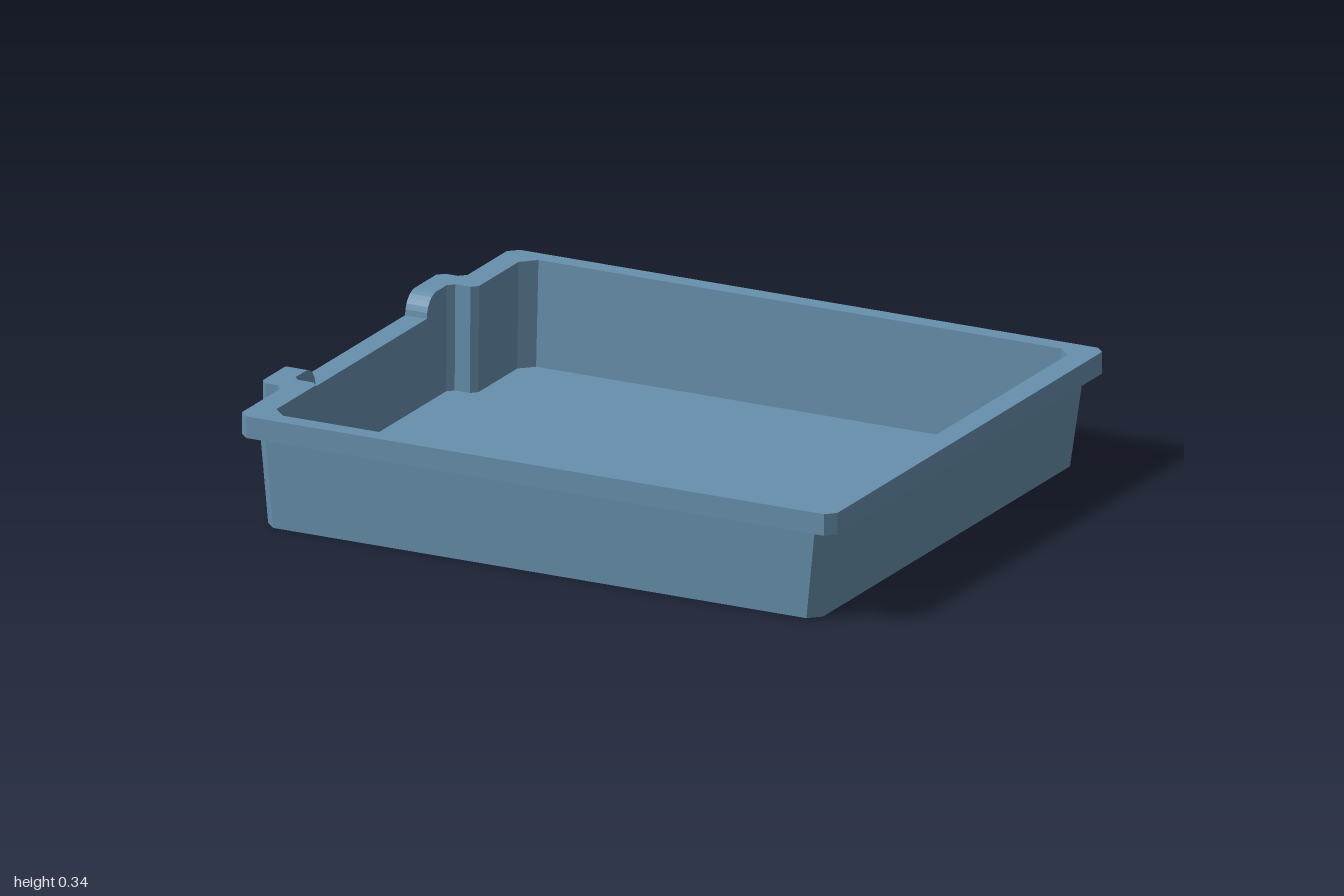
import * as THREE from 'three';

const TOP = 0.34, LIP = 0.065, NOTCH = 0.34, ROUND = 0.06;

// One closed outline: chamfered rectangle with a wide tab on the -x side.
// dip lowers the tab's middle; spread moves the curved step outwards.
function ring({ right, left, tab, half, tabHalf, cut, tabCut, y, dip = 0, spread = 0 }) {
  const corners = [
    [right, half, cut], [right, -half, cut], [left, -half, cut], [left, -tabHalf, tabCut],
    [tab, -tabHalf, tabCut], [tab, tabHalf, tabCut], [left, tabHalf, tabCut], [left, half, cut],
  ];
  const points = [];
  corners.forEach(([x, z, c], i) => {
    const toward = ([px, pz]) => {
      const d = Math.hypot(px - x, pz - z);
      points.push(new THREE.Vector3(x + (px - x) / d * c, y, z + (pz - z) / d * c));
    };
    toward(corners[(i + 7) % 8]);
    toward(corners[(i + 1) % 8]);
    if (i === 4) {
      // quarter-round step down, then its mirror image
      const step = [];
      for (let k = 0; k <= 6; k++) {
        const a = k / 6 * Math.PI / 2;
        step.push([NOTCH + spread + ROUND * (1 - Math.sin(a)), y - dip * (1 - Math.cos(a))]);
      }
      step.forEach(([sz, sy]) => points.push(new THREE.Vector3(tab, sy, -sz)));
      step.reverse().forEach(([sz, sy]) => points.push(new THREE.Vector3(tab, sy, sz)));
    }
  });
  return points;
}

// Joins successive outlines with flat faces
function skin(rings) {
  const pos = [];
  for (let j = 0; j < rings.length - 1; j++) {
    const p = rings[j], q = rings[j + 1], n = p.length;
    for (let i = 0; i < n; i++) {
      const k = (i + 1) % n;
      for (const v of [p[i], q[i], q[k], p[i], q[k], p[k]]) pos.push(v.x, v.y, v.z);
    }
  }
  const g = new THREE.BufferGeometry();
  g.setAttribute('position', new THREE.Float32BufferAttribute(pos, 3));
  g.computeVertexNormals();
  return g;
}

// Flat cap filling an outline, facing up or down
function cap(points, up) {
  const s = up ? -1 : 1;
  const shape = new THREE.Shape(points.map(v => new THREE.Vector2(v.x, s * v.z)));
  return new THREE.ShapeGeometry(shape).rotateX(s * Math.PI / 2).translate(0, points[0].y, 0);
}

export function createModel() {
  const group = new THREE.Group();
  const blue = new THREE.MeshStandardMaterial({ color: 0x6790ad });
  blue.name = 'slateBlue';
  const add = (name, geometry) => {
    const mesh = new THREE.Mesh(geometry, blue);
    mesh.name = name;
    group.add(mesh);
  };

  const floor = ring({ right: 0.917, left: -0.847, tab: -0.932, half: 0.775, tabHalf: 0.48, cut: 0.04, tabCut: 0.018, y: 0.02 });
  const innerTop = ring({ right: 0.925, left: -0.845, tab: -0.93, half: 0.782, tabHalf: 0.48, cut: 0.042, tabCut: 0.018, y: TOP, dip: LIP });
  const rim = { right: 1, left: -0.92, tab: -1, half: 0.837, tabHalf: 0.55, cut: 0.028, tabCut: 0.02, dip: LIP };
  const rimTop = ring({ ...rim, y: TOP });
  const rimBottom = ring({ ...rim, y: TOP - LIP, spread: 0.05 });
  const bodyTop = ring({ right: 0.96, left: -0.882, tab: -0.96, half: 0.805, tabHalf: 0.515, cut: 0.035, tabCut: 0.02, y: TOP - LIP, dip: LIP, spread: 0.05 });
  const bodyBottom = ring({ right: 0.925, left: -0.864, tab: -0.945, half: 0.79, tabHalf: 0.505, cut: 0.035, tabCut: 0.02, y: 0 });

  add('trayFloor', cap(floor, true));
  add('innerWall', skin([floor, innerTop]));
  add('rim', skin([innerTop, rimTop, rimBottom, bodyTop]));
  add('outerWall', skin([bodyTop, bodyBottom]));
  add('underside', cap(bodyBottom, false));
  return group;
}
